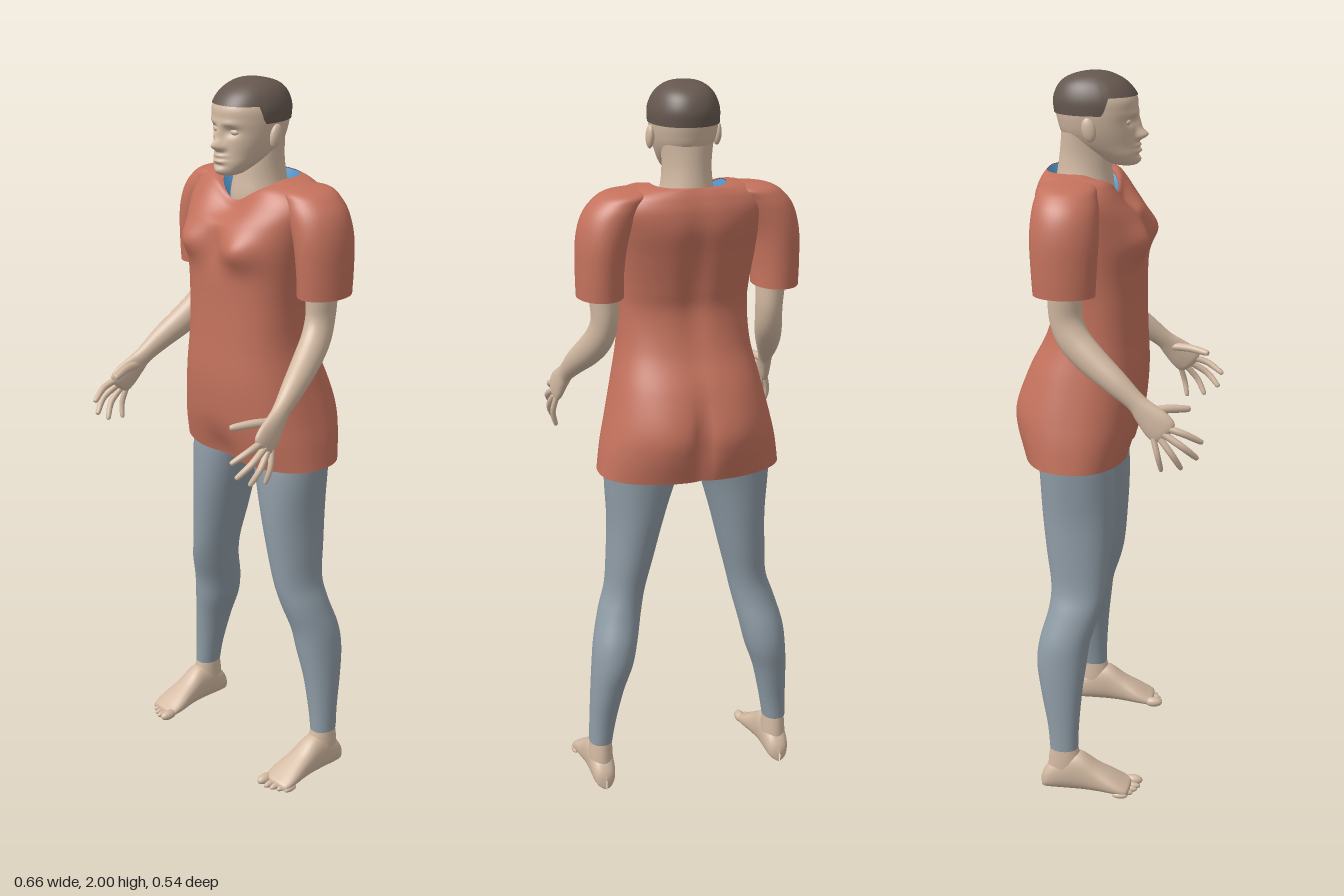
import * as THREE from 'three';

const mat = (name, color, side = THREE.FrontSide) => {
  const m = new THREE.MeshStandardMaterial({ color, side });
  m.name = name;
  return m;
};
const gauss = (d, s) => Math.exp(-(d * d) / (s * s));
const smooth = THREE.MathUtils.smoothstep;
const pow = (v, e) => Math.sign(v) * Math.abs(v) ** (2 / e);

// Catmull-Rom sample of a list of number rows, t in 0..1
function sample(rows, t) {
  const f = t * (rows.length - 1), i = Math.min(Math.floor(f), rows.length - 2), u = f - i;
  const at = k => rows[Math.max(0, Math.min(rows.length - 1, k))];
  return rows[0].map((_, k) => {
    const a = at(i - 1)[k], b = at(i)[k], c = at(i + 1)[k], d = at(i + 2)[k];
    return b + 0.5 * u * (c - a + u * (2 * a - 5 * b + 4 * c - d + u * (3 * (b - c) + d - a)));
  });
}

// Smooth skin over rings given by fn(t, angle) -> [x, y, z]
function skin(nu, nv, fn) {
  const pos = [], idx = [];
  for (let i = 0; i <= nu; i++)
    for (let j = 0; j < nv; j++) pos.push(...fn(i / nu, (j / nv) * Math.PI * 2));
  for (let i = 0; i < nu; i++)
    for (let j = 0; j < nv; j++) {
      const k = (j + 1) % nv, a = i * nv + j, b = i * nv + k, c = a + nv, d = b + nv;
      idx.push(a, c, b, b, c, d);
    }
  const g = new THREE.BufferGeometry();
  g.setAttribute('position', new THREE.Float32BufferAttribute(pos, 3));
  g.setIndex(idx);
  g.computeVertexNormals();
  return g;
}

// Ring from a row [y, centre x, half width, front z, back z]
const ring = ([y, cx, w, zf, zb], a, e = 2) =>
  [cx + w * pow(Math.cos(a), e), y, (zf + zb) / 2 + ((zf - zb) / 2) * pow(Math.sin(a), e)];
const loft = (rows, nu, nv, e) => skin(nu, nv, (t, a) => ring(sample(rows, t), a, e));

// Limb along rows [x, y, z, radius across, radius along the bend]
function limb(rows, nu, nv) {
  const v = t => new THREE.Vector3(...sample(rows, t));
  return skin(nu, nv, (t, a) => {
    const [x, y, z, rx, rn] = sample(rows, t);
    const dir = v(Math.min(1, t + 0.01)).sub(v(Math.max(0, t - 0.01))).normalize();
    const side = new THREE.Vector3(1, 0, 0).addScaledVector(dir, -dir.x).normalize();
    const n = side.clone().cross(dir);
    return new THREE.Vector3(x, y, z).addScaledVector(side, rx * Math.cos(a))
      .addScaledVector(n, rn * Math.sin(a)).toArray();
  });
}

function ball(x, y, z, rx, ry, rz, turnX = 0) {
  return new THREE.SphereGeometry(1, 20, 14).scale(rx, ry, rz).rotateX(turnX).translate(x, y, z);
}

function mirrored(geo) {
  const g = geo.clone().scale(-1, 1, 1), ix = g.index;
  for (let i = 0; i < ix.count; i += 3) {
    const b = ix.getX(i + 1);
    ix.setX(i + 1, ix.getX(i + 2));
    ix.setX(i + 2, b);
  }
  g.computeVertexNormals();
  return g;
}

const headRows = [
  [1.753, 0, .002, .035, .03], [1.758, 0, .03, .056, -.01], [1.78, 0, .05, .063, -.06],
  [1.81, 0, .067, .058, -.12], [1.84, 0, .079, .056, -.145], [1.87, 0, .086, .055, -.155],
  [1.90, 0, .089, .058, -.161], [1.93, 0, .088, .057, -.162], [1.96, 0, .077, .038, -.15],
  [1.98, 0, .06, .012, -.128], [1.992, 0, .037, -.018, -.092], [1.997, 0, .0005, -.05, -.051]];

// Face relief: nose, nostrils, brow, eye sockets, lips, chin
function facePoint(t, a) {
  const p = ring(sample(headRows, t), a, 2.15), [x, y] = p, ax = Math.abs(x);
  if (Math.sin(a) > 0) {
    p[2] += .027 * gauss(x, .013) * gauss(y - 1.835, .014) + .013 * gauss(x, .011) * gauss(y - 1.862, .024)
      + .008 * gauss(ax - .014, .008) * gauss(y - 1.83, .009)
      + .005 * gauss(ax - .03, .025) * gauss(y - 1.893, .01)
      - .010 * gauss(ax - .034, .018) * gauss(y - 1.872, .013)
      + .009 * gauss(x, .022) * (gauss(y - 1.808, .006) + gauss(y - 1.794, .006))
      + .006 * gauss(x, .02) * gauss(y - 1.768, .01) - .004 * gauss(x, .02) * gauss(y - 1.782, .005);
  }
  return p;
}

// Row parameter of the head at height y
function headT(y) {
  let lo = 0, hi = 1;
  for (let i = 0; i < 24; i++) {
    const m = (lo + hi) / 2;
    if (sample(headRows, m)[0] < y) lo = m; else hi = m;
  }
  return lo;
}
function hairPoint(t, a) {
  const start = headT(1.892 + .046 * smooth(Math.sin(a), .2, .4));
  const p = ring(sample(headRows, start + (1 - start) * t), a, 2.15);
  return [p[0] * 1.035, p[1] + .003 * t, -.05 + (p[2] + .05) * 1.035];
}

const shirtRows = [
  [.957, 0, .254, .05, -.243], [1.03, 0, .243, .07, -.258], [1.10, 0, .227, .083, -.26],
  [1.20, 0, .204, .09, -.232], [1.30, 0, .183, .086, -.185], [1.40, 0, .178, .083, -.162],
  [1.47, 0, .182, .084, -.172], [1.56, 0, .195, .085, -.193], [1.63, 0, .207, .072, -.21],
  [1.68, 0, .215, .042, -.21], [1.715, 0, .195, .02, -.2], [1.735, 0, .15, .01, -.19],
  [1.742, 0, .1, .004, -.185]];

// Shirt body: bust, seat, spine groove and dipped neckline
function shirtPoint(t, a) {
  const p = ring(sample(shirtRows, t), a, 2.4), [x, y] = p, ax = Math.abs(x), s = Math.sin(a);
  if (s > 0) {
    p[2] += .03 * gauss(ax - .1, .055) * gauss(y - 1.57, .045)
      - .012 * gauss(x, .03) * gauss(y - 1.57, .06) - .02 * gauss(x, .06) * gauss(y - .96, .07);
    p[1] -= .06 * gauss(x, .075) * smooth(s, 0, .6) * smooth(y, 1.6, 1.74);
  } else {
    p[2] += .022 * gauss(x, .02) * gauss(y - 1.06, .1) - .012 * gauss(ax - .09, .07) * gauss(y - 1.08, .1)
      + .012 * gauss(x, .035) * gauss(y - 1.5, .2);
  }
  return p;
}
// Collar lining: a narrow band turning in from the neckline
function liningPoint(t, a) {
  const p = shirtPoint(1, a), k = 1 - .2 * t;
  return [p[0] * k, p[1] - .002 - .025 * t, -.09 + (p[2] + .09) * k];
}

const neckRows = [[1.63, 0, .09, -.005, -.17], [1.69, 0, .079, -.004, -.165], [1.74, 0, .068, -.01, -.157],
  [1.79, 0, .065, -.015, -.15], [1.85, 0, .07, -.03, -.145]];
const sleeveRows = [[1.455, .242, .062, -.018, -.182], [1.52, .242, .063, -.014, -.186], [1.60, .235, .068, -.01, -.19],
  [1.66, .215, .075, -.012, -.188], [1.70, .19, .074, -.02, -.182], [1.727, .16, .062, -.035, -.168],
  [1.738, .13, .002, -.1, -.102]];
const legRows = [[1.02, .122, .112, 0, -.2], [.96, .128, .107, .012, -.195], [.9, .138, .094, .017, -.19],
  [.8, .15, .076, .017, -.182], [.7, .164, .065, .01, -.17], [.6, .18, .056, 0, -.156],
  [.53, .198, .06, -.015, -.162], [.45, .217, .062, -.04, -.184], [.38, .229, .058, -.05, -.19],
  [.3, .245, .047, -.06, -.177], [.2, .258, .038, -.068, -.157], [.13, .265, .033, -.07, -.15]].reverse();
const ankleRows = [[.04, .265, .034, -.06, -.158], [.09, .265, .034, -.06, -.155], [.15, .264, .029, -.075, -.147]];
// Foot rows: [z, centre x, half width, top height]
const footRows = [[-.177, .265, .002, .03], [-.168, .265, .023, .055], [-.145, .265, .033, .085], [-.1, .265, .036, .115],
  [-.06, .265, .037, .115], [-.015, .264, .041, .083], [.03, .263, .048, .056], [.062, .263, .048, .036],
  [.078, .26, .04, .026], [.082, .26, .002, .018]];
const armRows = [[.235, 1.56, -.1, .045, .05], [.232, 1.46, -.1, .04, .046], [.23, 1.39, -.098, .036, .044],
  [.238, 1.335, -.075, .037, .044], [.255, 1.285, -.025, .036, .041], [.277, 1.235, .04, .03, .034],
  [.292, 1.19, .095, .021, .027], [.3, 1.163, .123, .018, .034], [.307, 1.133, .155, .016, .042],
  [.311, 1.113, .176, .012, .036], [.312, 1.105, .184, .001, .004]];
// Digits: [base], [bend], [tip], radius
const digits = [
  [[.294, 1.165, .12], [.274, 1.168, .175], [.25, 1.163, .228], .0115],
  [[.311, 1.13, .175], [.313, 1.115, .225], [.297, 1.09, .268], .0095],
  [[.315, 1.113, .172], [.321, 1.082, .222], [.304, 1.048, .257], .0095],
  [[.315, 1.1, .163], [.323, 1.06, .195], [.31, 1.02, .217], .009],
  [[.312, 1.1, .145], [.321, 1.052, .158], [.312, 1.012, .166], .008]];

export function createModel() {
  const skinTone = mat('skin', 0xd2b9a2), hairTone = mat('dark hair', 0x65574f);
  const red = mat('terracotta shirt', 0xc4725d, THREE.DoubleSide);
  const blue = mat('blue lining', 0x4f90c4, THREE.DoubleSide), grey = mat('grey leggings', 0x8f9ca6);
  const model = new THREE.Group();
  const add = (name, geo, material) => {
    const m = new THREE.Mesh(geo, material);
    m.name = name;
    model.add(m);
  };
  const pair = (name, geo, material) => {
    add('left ' + name, geo, material);
    add('right ' + name, mirrored(geo), material);
  };

  // Head
  add('head', skin(110, 96, facePoint), skinTone);
  add('hair', skin(24, 96, hairPoint), hairTone);
  add('neck', loft(neckRows, 16, 40), skinTone);
  pair('ear', ball(.091, 1.857, -.058, .011, .032, .019, -.2), skinTone);
  pair('eyelid', ball(.034, 1.871, .034, .015, .009, .011), skinTone);

  // Shirt
  add('shirt body', skin(90, 96, shirtPoint), red);
  add('collar lining', skin(3, 96, liningPoint), blue);
  add('shirt gusset', ball(0, .975, -.085, .05, .032, .1), red);
  pair('sleeve', loft(sleeveRows, 30, 40), red);

  // Arms and hands
  pair('arm', limb(armRows, 60, 28), skinTone);
  digits.forEach(([a, b, c, r], i) => {
    const tip = c.map((v, k) => v + (v - b[k]) * .1);
    const rows = [[...a, r, r], [...b, r, r], [...c, r * .75, r * .75], [...tip, .0005, .0005]];
    pair(i ? 'finger ' + i : 'thumb', limb(rows, 18, 12), skinTone);
  });

  // Legs and feet
  pair('legging', loft(legRows, 60, 40, 2.1), grey);
  pair('ankle', loft(ankleRows, 8, 28), skinTone);
  pair('foot', skin(40, 32, (t, a) => {
    const [z, cx, w, top] = sample(footRows, t);
    return [cx + w * pow(Math.cos(a), 2.3), Math.max(0, top / 2 - (top / 2) * pow(Math.sin(a), 2.3)), z];
  }), skinTone);
  for (let i = 0; i < 5; i++) {
    const r = i ? .0105 - i * .0005 : .015;
    const x = i ? .232 + i * .0185 : .227;
    pair('toe ' + (i + 1), ball(x, r, .083 - i * i * .0017, r, r, .028 - i * .0015), skinTone);
  }
  return model;
}
